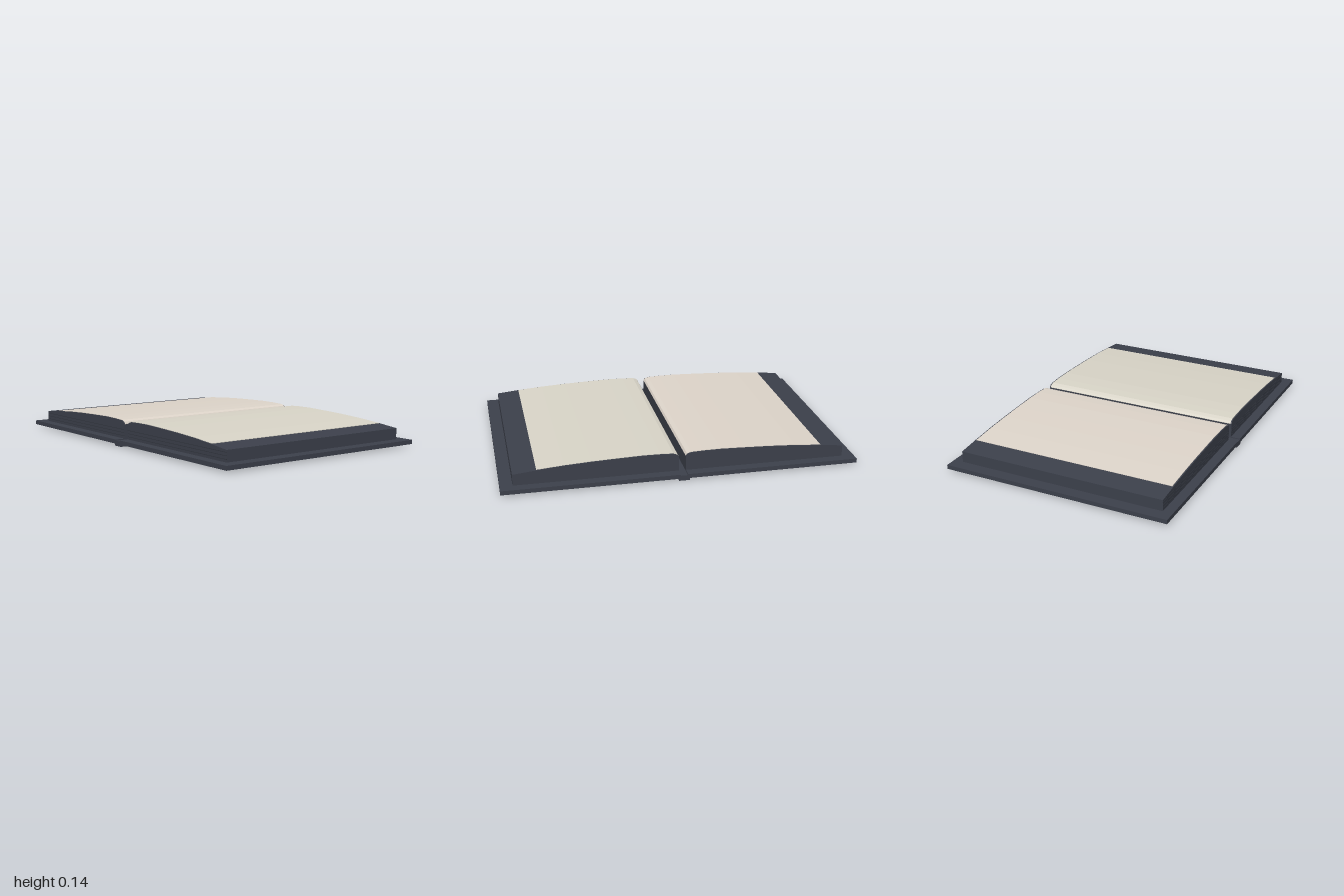
import * as THREE from 'three';

export function createModel() {
  const group = new THREE.Group();
  const material = (color) => new THREE.MeshStandardMaterial({ color });
  const dark = material(0x3c404b);
  const edge = material(0x30343d);

  const add = (name, geometry, mat, x = 0, y = 0, z = 0) => {
    const mesh = new THREE.Mesh(geometry, mat);
    mesh.name = name;
    mesh.position.set(x, y, z);
    group.add(mesh);
  };

  // Upper curve of the page block, from the gutter outwards
  const crown = [[0.02, 0.118], [0.027, 0.13], [0.05, 0.138], [0.12, 0.141], [0.22, 0.142],
    [0.36, 0.138], [0.5, 0.133], [0.65, 0.125], [0.8, 0.113], [0.93, 0.1]];

  // Closed outline extruded along z, centred on z = 0
  const slab = (points, side, depth) => {
    const shape = new THREE.Shape(points.map(([x, y]) => new THREE.Vector2(side * x, y)));
    return new THREE.ExtrudeGeometry(shape, { depth, bevelEnabled: false }).translate(0, 0, -depth / 2);
  };

  for (const side of [-1, 1]) {
    const label = side > 0 ? 'left' : 'right';

    // Cover board
    add(label + 'Cover', new THREE.BoxGeometry(0.98, 0.024, 1.334), dark, side * 0.51, 0.024);

    // Curved stack of pages
    add(label + 'PageBlock', slab([[0.02, 0.034], ...crown, [0.93, 0.034]], side, 1.222), dark);

    // Open sheet lying on the curve, stopping short of the outer edge
    const sheet = crown.slice(0, -1);
    const upper = sheet.map(([x, y]) => [x, y + 0.0025]);
    add(label + 'OpenPage', slab([...sheet, ...upper.reverse()], side, 1.208),
      material(side > 0 ? 0xd9d5c8 : 0xded5ca));

    // Fine page lines along the front edge
    for (const y of [0.052, 0.07, 0.088]) {
      add(label + 'PageLine', new THREE.BoxGeometry(0.91, 0.003, 0.003), edge, side * 0.475, y, 0.611);
    }
  }

  // Spine strip joining the covers, slightly proud underneath
  add('spine', new THREE.BoxGeometry(0.06, 0.03, 1.334), dark, 0, 0.015);

  return group;
}
